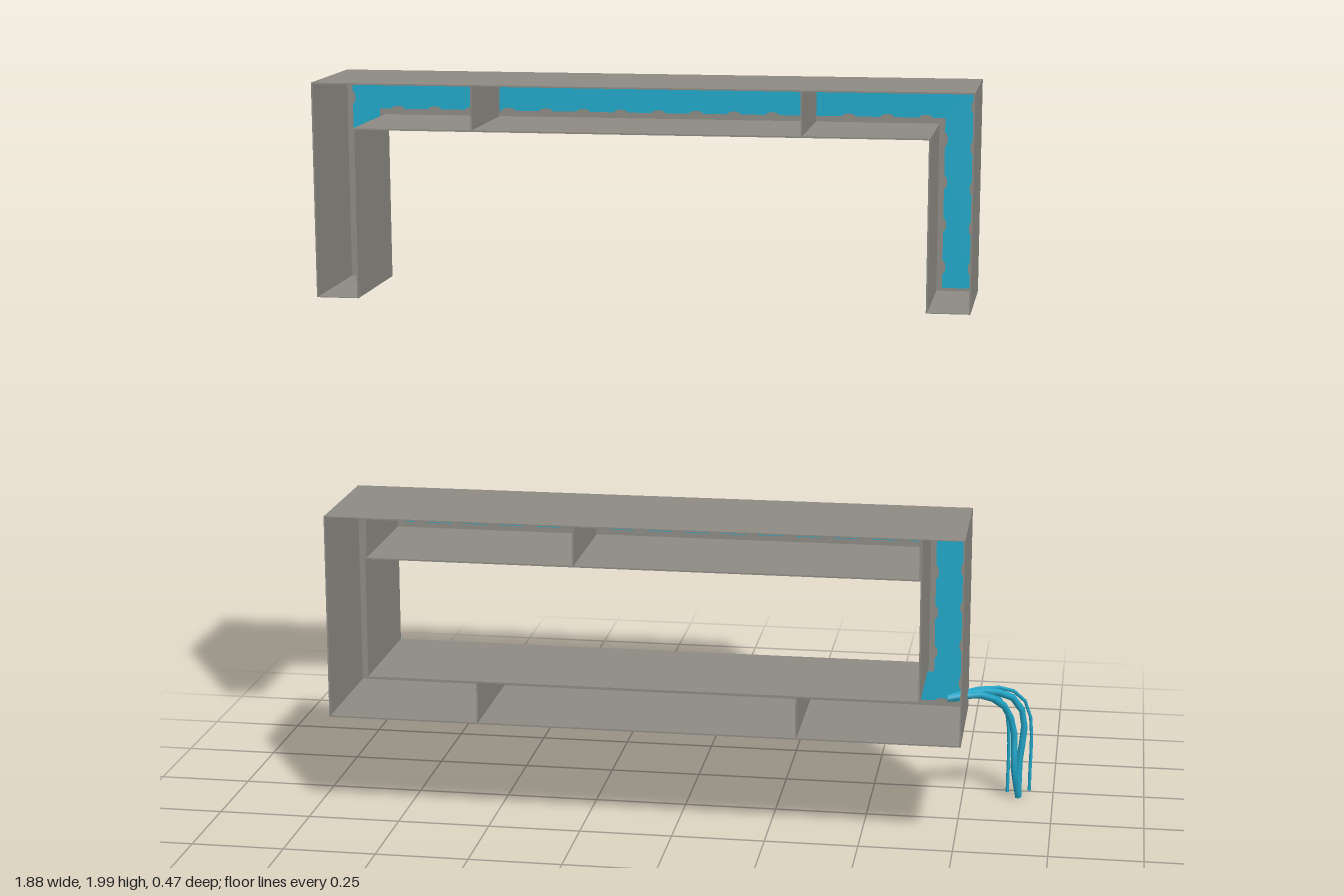
import * as THREE from 'three';

const grey = new THREE.MeshStandardMaterial({ color: 0x8e8b84 });
grey.name = 'grey board';
const teal = new THREE.MeshStandardMaterial({ color: 0x21a8ca });
teal.name = 'teal';

const BACK = -0.12, FRONT = 0.235, DEPTH = FRONT - BACK;
const L = -0.94, R = 0.765, LI = -0.828, RI = 0.652; // outer and inner edges of the legs
const LEG = 0.56, BAR = 0.12;                        // leg length and bar height
const LOW = 0.288;                                   // underside of the lower unit
const WALL = 0.004, RIM = 0.019, SHEET_Z = -0.104;

const outline = pts => pts.map(p => new THREE.Vector2(p[0], p[1]));

// Contour of a U-shaped channel; t runs from the outside of the bar along the legs
const uContour = (y0, dir) => i => {
  const e = LEG - i / 2;
  const pts = outline([
    [L + i, i], [R - i, i], [R - i, e], [RI + i, e],
    [RI + i, BAR - i], [LI - i, BAR - i], [LI - i, e], [L + i, e],
  ].map(([x, t]) => [x, y0 + dir * t]));
  return dir > 0 ? pts : pts.reverse(); // keep the contour counter-clockwise
};

const rectContour = (x0, x1, y0, y1) => i => outline([
  [x0 + i, y0 + i], [x1 - i, y0 + i], [x1 - i, y1 - i], [x0 + i, y1 - i],
]);

function add(group, name, geometry, material) {
  const mesh = new THREE.Mesh(geometry, material);
  mesh.name = name;
  group.add(mesh);
}

function box(group, name, x0, x1, y0, y1, z0, z1) {
  const geo = new THREE.BoxGeometry(x1 - x0, Math.abs(y1 - y0), z1 - z0);
  geo.translate((x0 + x1) / 2, (y0 + y1) / 2, (z0 + z1) / 2);
  add(group, name, geo, grey);
}

// Hollow band following a contour, starting at the back plane
function band(group, name, contour, inset, depth) {
  const shape = new THREE.Shape(contour(0));
  shape.holes.push(new THREE.Path(contour(inset)));
  const geo = new THREE.ExtrudeGeometry(shape, { depth, bevelEnabled: false });
  geo.translate(0, 0, BACK);
  add(group, name, geo, grey);
}

// Thin-walled channel with a rim at the back, a teal sheet and small tabs along its edge
function channel(group, contour) {
  band(group, 'channelWalls', contour, WALL, DEPTH);
  band(group, 'backRim', contour, RIM, 0.02);
  const edge = contour(RIM);
  const geo = new THREE.ExtrudeGeometry(new THREE.Shape(edge), { depth: 0.004, bevelEnabled: false });
  geo.translate(0, 0, SHEET_Z);
  add(group, 'backSheet', geo, teal);
  edge.forEach((a, k) => {
    const b = edge[(k + 1) % edge.length];
    const count = Math.floor(a.distanceTo(b) / 0.1);
    for (let j = 0; j < count; j++) {
      const p = a.clone().lerp(b, (j + 0.5) / count);
      const tab = new THREE.CircleGeometry(1, 12);
      tab.scale(0.018, 0.008, 1);
      tab.rotateZ(Math.atan2(b.y - a.y, b.x - a.x));
      tab.translate(p.x, p.y, SHEET_Z + 0.006);
      add(group, 'edgeTab', tab, grey);
    }
  });
}

// Cross plates on the back, leaving windows between them
function plates(group, spans, y0, y1) {
  for (const [a, b] of spans) box(group, 'crossPlate', a, b, y0, y1, BACK + 0.001, SHEET_Z);
}

function cable(group, name, pts, radius, segments, sides) {
  const curve = new THREE.CatmullRomCurve3(pts.map(p => new THREE.Vector3(...p)), false, 'centripetal');
  add(group, name, new THREE.TubeGeometry(curve, segments, radius, sides), teal);
}

// Bundle of cables bending from a leg into the bar
function cornerCables(group, side, endX, y0, dir) {
  const cx = side > 0 ? (R + RI) / 2 : (L + LI) / 2;
  for (let k = 0; k < 4; k++) {
    const o = (k - 1.5) * 0.018;
    const x = cx + side * o, t = 0.06 - o;
    cable(group, 'innerCable', [
      [x, 0.535], [x, 0.35], [x, 0.17], [x - side * 0.02, t + 0.035],
      [cx - side * 0.1, t], [endX + side * k * 0.02, t],
    ].map(([px, pt], i) => [px, y0 + dir * pt, -0.112 + (i === 2 ? -0.004 : 0)]), 0.0062, 24, 12);
  }
}

function legPlates(group, y0, dir, spans) {
  for (const [a, b] of spans) {
    for (const [x0, x1] of [[L, LI], [RI, R]]) {
      box(group, 'legPlate', x0 + 0.01, x1 - 0.01, y0 + dir * a, y0 + dir * b, -0.123, SHEET_Z);
    }
  }
}

export function createModel() {
  const model = new THREE.Group();
  model.name = 'wallShelf';

  // Upper unit: U opening downwards
  const upper = new THREE.Group();
  upper.name = 'upperShelf';
  channel(upper, uContour(2, -1));
  for (const x of [-0.52, 0.33]) box(upper, 'divider', x - 0.002, x + 0.002, 1.882, 1.998, SHEET_Z, FRONT - 0.002);
  plates(upper, [[0.305, 0.36], [0.41, 0.45], [0.03, 0.14], [-0.16, -0.1], [-0.21, -0.18], [-0.28, -0.23],
    [-0.52, -0.46], [-0.68, -0.63]], 1.89, 1.99);
  legPlates(upper, 2, -1, [[0.31, 0.4]]);
  cornerCables(upper, 1, 0.46, 2, -1);
  cornerCables(upper, -1, -0.66, 2, -1);
  model.add(upper);

  // Lower unit: U opening upwards, closed by a separate bar
  const lower = new THREE.Group();
  lower.name = 'lowerShelf';
  channel(lower, uContour(LOW, 1));
  for (const x of [-0.53, 0.33]) {
    box(lower, 'divider', x - 0.002, x + 0.002, LOW + 0.002, LOW + 0.118, SHEET_Z, FRONT - 0.002);
  }
  box(lower, 'dividerRim', -0.542, -0.522, 0.3, 0.4, BACK, -0.098);
  plates(lower, [[0.31, 0.36], [0.2, 0.25], [0.02, 0.16], [-0.28, -0.23], [-0.34, -0.31], [-0.5, -0.44]], 0.3, 0.4);
  legPlates(lower, LOW, 1, [[0.225, 0.275], [0.34, 0.37]]);
  cornerCables(lower, 1, 0.38, LOW, 1);
  cornerCables(lower, -1, -0.54, LOW, 1);
  model.add(lower);

  // Separate bar between the legs
  const bar = new THREE.Group();
  bar.name = 'middleBar';
  channel(bar, rectContour(LI, RI, 0.735, 0.848));
  box(bar, 'endRim', LI + 0.01, LI + 0.028, 0.745, 0.84, BACK, -0.098);
  box(bar, 'divider', -0.267, -0.263, 0.737, 0.846, BACK, FRONT - 0.002);
  box(bar, 'dividerRim', -0.281, -0.249, 0.745, 0.84, BACK, -0.098);
  plates(bar, [[0.165, 0.34], [-0.37, -0.29], [-0.63, -0.48]], 0.745, 0.84);
  model.add(bar);

  // Loose cables leaving the side of the lower unit
  const loose = new THREE.Group();
  loose.name = 'looseCables';
  const runs = [
    [0.01, [[0.71, 0.33, -0.05], [0.8, 0.33, -0.095], [0.865, 0.28, -0.15], [0.89, 0.2, -0.172],
      [0.892, 0.1, -0.166], [0.905, 0.008, -0.195]]],
    [0.01, [[0.72, 0.325, -0.06], [0.8, 0.335, -0.115], [0.885, 0.3, -0.175], [0.915, 0.24, -0.195],
      [0.905, 0.1, -0.2], [0.905, 0.006, -0.2]]],
    [0.005, [[0.72, 0.33, -0.08], [0.81, 0.33, -0.155], [0.86, 0.27, -0.2], [0.873, 0.2, -0.21],
      [0.874, 0.015, -0.21]]],
    [0.005, [[0.72, 0.33, -0.07], [0.83, 0.335, -0.155], [0.9, 0.3, -0.21], [0.93, 0.24, -0.23],
      [0.934, 0.015, -0.231]]],
  ];
  for (const [radius, pts] of runs) cable(loose, 'looseCable', pts, radius, 10, 6);
  model.add(loose);

  return model;
}
